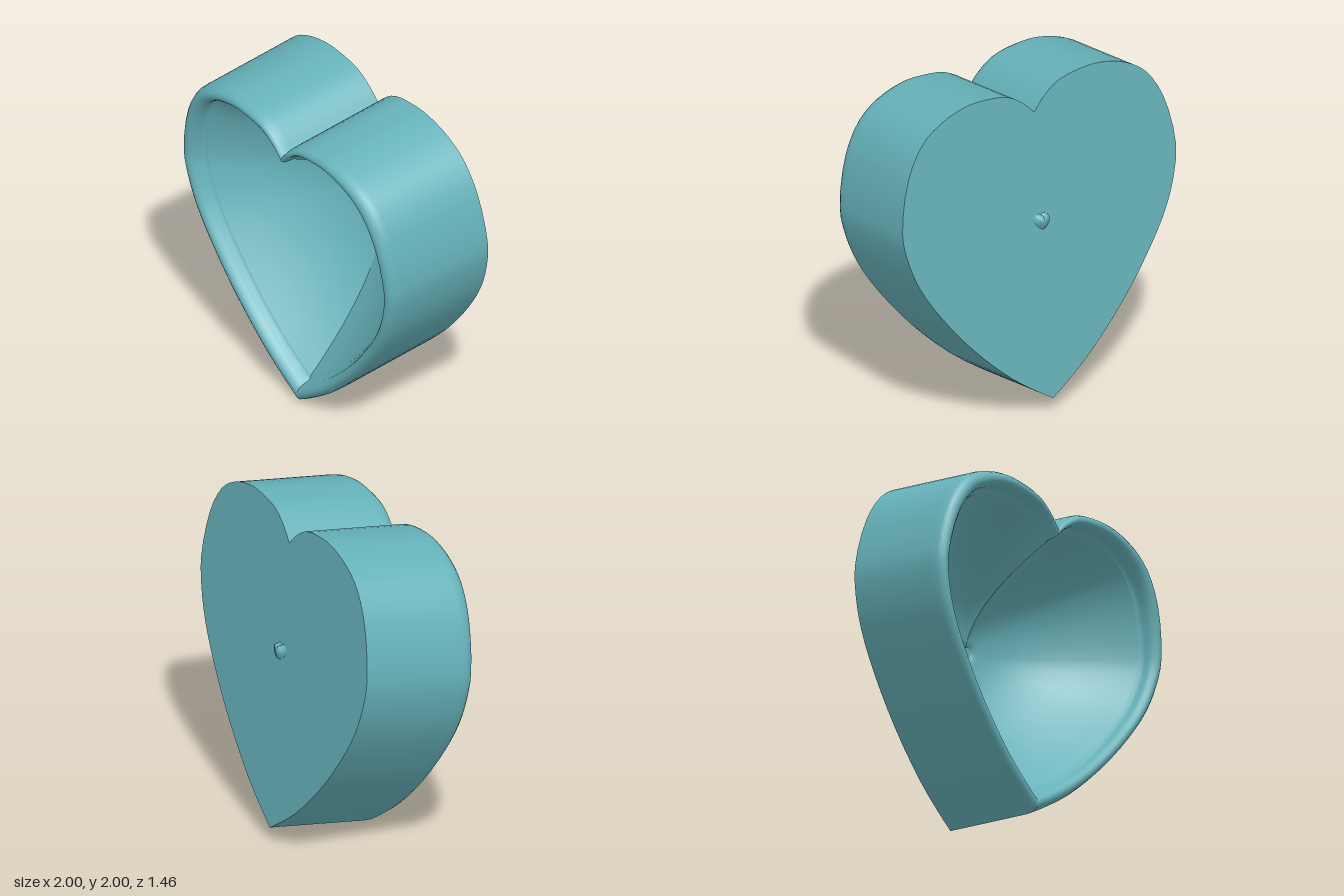
import * as THREE from 'three';

// Right half of the heart outline, from the bottom tip round to the notch
const HALF = [
  [0, 0], [0.09, 0.06], [0.276, 0.2], [0.519, 0.44], [0.729, 0.705], [0.859, 0.918], [0.925, 1.1],
  [0.95, 1.27], [0.885, 1.58], [0.775, 1.76], [0.645, 1.85], [0.47, 1.902], [0.34, 1.905],
  [0.17, 1.875], [0.06, 1.8], [0, 1.735],
];
const CENTRE = 1.08; // height of the heart's middle above its tip

// Tilted frame of the dish: back tip, across, up, and back-to-front
const TIP = new THREE.Vector3(0.17, 0.09, -0.37);
const ACROSS = new THREE.Vector3(0.883, -0.017, 0.466);
const UP = new THREE.Vector3(-0.023, 0.997, 0.08);
const DEPTH = new THREE.Vector3(-0.31, -0.09, 0.53);

const curve = new THREE.CatmullRomCurve3(HALF.map(([u, v]) => new THREE.Vector3(u, v, 0)), false, 'centripetal');
const right = curve.getPoints(45);
const left = right.map((p) => new THREE.Vector3(-p.x, p.y, 0)).reverse();

// Sweeps a profile of [scale, depth] rings; halves stay separate so tip and notch are sharp
function heartShell(name, profile, material) {
  const positions = [];
  const index = [];
  for (const half of [right, left]) {
    const base = positions.length / 3;
    const n = half.length;
    for (const [scale, depth] of profile) {
      for (const p of half) {
        const q = TIP.clone()
          .addScaledVector(ACROSS, p.x * scale)
          .addScaledVector(UP, CENTRE + (p.y - CENTRE) * scale)
          .addScaledVector(DEPTH, depth);
        positions.push(q.x, q.y, q.z);
      }
    }
    for (let j = 0; j < profile.length - 1; j++) {
      for (let i = 0; i < n - 1; i++) {
        const a = base + j * n + i;
        index.push(a, a + 1, a + n + 1, a, a + n + 1, a + n);
      }
    }
  }
  const geometry = new THREE.BufferGeometry();
  geometry.setAttribute('position', new THREE.Float32BufferAttribute(positions, 3));
  geometry.setIndex(index);
  geometry.computeVertexNormals();
  const mesh = new THREE.Mesh(geometry, material);
  mesh.name = name;
  return mesh;
}

export function createModel() {
  const group = new THREE.Group();
  group.name = 'heartDish';
  const material = new THREE.MeshStandardMaterial({ color: 0x66b2ba, side: THREE.DoubleSide });

  // Flat back
  group.add(heartShell('back', [[0.02, 0], [1, 0]], material));

  // Straight outer wall rolling over into the rounded rim
  const wall = [[1, 0], [1, 0.5], [1, 0.97]];
  for (let k = 1; k <= 8; k++) {
    const a = (k / 8) * Math.PI;
    wall.push([0.95 + 0.05 * Math.cos(a), 0.99 + 0.11 * Math.sin(a)]);
  }
  group.add(heartShell('wallAndRim', wall, material));

  // Small step inside the rim
  group.add(heartShell('innerLip', [[0.9, 0.99], [0.895, 0.95], [0.875, 0.93]], material));

  // Bowl narrowing to a small point that just breaks through the back
  const bowl = [];
  for (let k = 0; k <= 16; k++) {
    const s = 1 - (k / 16) * 0.94;
    bowl.push([0.875 * s, 0.93 * s * s + 0.005]);
  }
  bowl.push([0.04, -0.05], [0, -0.06]);
  group.add(heartShell('bowl', bowl, material));
  return group;
}
